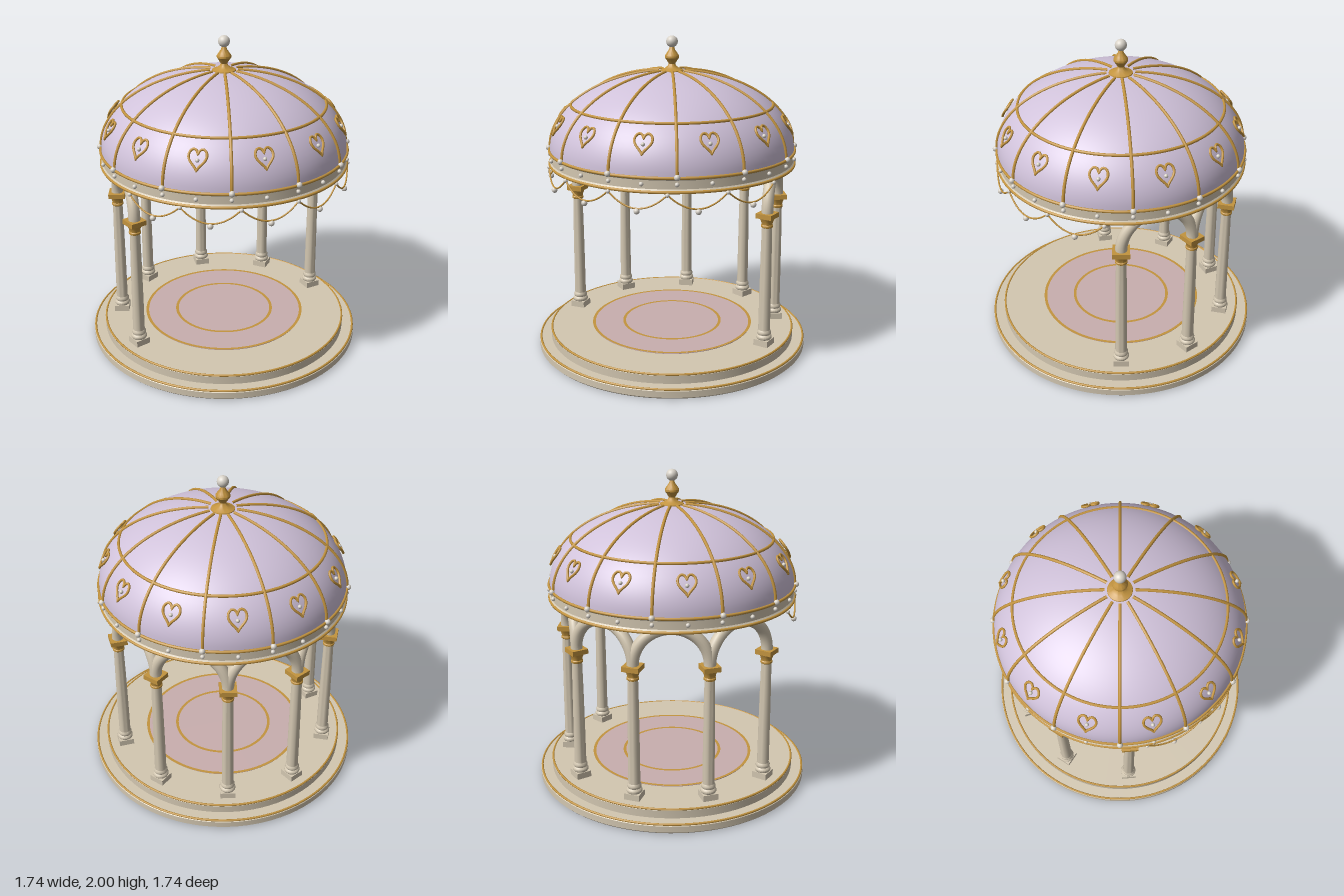
import * as THREE from 'three';
import { toCreasedNormals } from 'three/addons/utils/BufferGeometryUtils.js';

const mat = (name, color, extra = {}) => {
  const m = new THREE.MeshStandardMaterial({ color, ...extra });
  m.name = name;
  return m;
};
const RAD = Math.PI / 180;
const DOME_Y = 1.3, DOME_R = 0.765, DOME_H = 0.487;

// Point at angle a (from the front, towards +x) on a ring
const polar = (a, r, y) => new THREE.Vector3(Math.sin(a) * r, y, Math.cos(a) * r);
// Point on the dome at angle a and elevation t, lifted by off
const onDome = (a, t, off = 0) =>
  polar(a, (DOME_R + off) * Math.cos(t), DOME_Y + (DOME_H + off) * Math.sin(t));

const lathe = (pts, segs = 64) => toCreasedNormals(
  new THREE.LatheGeometry(pts.map(p => new THREE.Vector2(...p)), segs), 0.6);
const tube = (pts, r, segs, closed = false) =>
  new THREE.TubeGeometry(new THREE.CatmullRomCurve3(pts, closed), segs, r, 8, closed);
const hoop = (r, t) => new THREE.TorusGeometry(r, t, 8, 96).rotateX(Math.PI / 2);

export function createModel() {
  const cream = mat('cream stone', 0xd3c7b1);
  const gold = mat('gold', 0xc3943f);
  const lilac = mat('lilac', 0xd0c2da, { side: THREE.DoubleSide });
  const pearl = mat('pearl', 0xd9d3c9);
  const rose = mat('rose floor', 0xc9aeae);

  const model = new THREE.Group();
  model.name = 'domedPavilion';
  const add = (parent, name, geo, material, pos) => {
    const m = new THREE.Mesh(geo, material);
    m.name = name;
    if (pos) m.position.copy(pos);
    parent.add(m);
    return m;
  };
  const group = (name, parent = model) => {
    const g = new THREE.Group();
    g.name = name;
    parent.add(g);
    return g;
  };
  const bead = r => new THREE.SphereGeometry(r, 14, 10);

  // Stepped round base
  const base = group('base');
  add(base, 'steps', lathe([[0, 0], [0.862, 0], [0.872, 0.01], [0.872, 0.05], [0.86, 0.06],
    [0.795, 0.06], [0.795, 0.11], [0.785, 0.12], [0, 0.12]], 96), cream);
  add(base, 'lowerTrim', hoop(0.863, 0.007), gold, new THREE.Vector3(0, 0.058, 0));
  add(base, 'upperTrim', hoop(0.79, 0.007), gold, new THREE.Vector3(0, 0.117, 0));
  add(base, 'floorInlay', new THREE.CylinderGeometry(0.52, 0.52, 0.004, 64), rose,
    new THREE.Vector3(0, 0.122, 0));
  for (const r of [0.315, 0.515])
    add(base, 'floorRing', new THREE.RingGeometry(r - 0.009, r + 0.009, 96).rotateX(-Math.PI / 2),
      gold, new THREE.Vector3(0, 0.127, 0));

  // Six columns around the back, open at the front
  const COL_R = 0.685, STEP = 38 * RAD;
  const plinth = new THREE.BoxGeometry(0.096, 0.04, 0.096);
  const foot = lathe([[0.044, 0.16], [0.049, 0.168], [0.049, 0.178], [0.044, 0.186], [0.04, 0.19],
    [0.044, 0.198], [0.044, 0.208], [0.037, 0.22]], 24);
  const shaft = lathe([[0.037, 0.2], [0.036, 0.45], [0.034, 0.7], [0.031, 0.9]], 24);
  const capital = lathe([[0.031, 0.888], [0.037, 0.893], [0.037, 0.903], [0.033, 0.908],
    [0.036, 0.925], [0.049, 0.952]], 24);
  const abacus = new THREE.BoxGeometry(0.104, 0.03, 0.104);
  for (let i = 0; i < 6; i++) {
    const a = Math.PI + (i - 2.5) * STEP;
    const col = group('column');
    col.position.copy(polar(a, COL_R, 0));
    col.rotation.y = a;
    add(col, 'plinth', plinth, cream, new THREE.Vector3(0, 0.14, 0));
    add(col, 'columnFoot', foot, cream);
    add(col, 'shaft', shaft, cream);
    add(col, 'capital', capital, gold);
    add(col, 'abacus', abacus, gold, new THREE.Vector3(0, 0.965, 0));
  }

  // Round arches between neighbouring columns
  const half = COL_R * Math.sin(STEP / 2), mid = COL_R * Math.cos(STEP / 2);
  const archGeo = new THREE.TorusGeometry(half, 0.036, 14, 40, Math.PI);
  for (let i = 0; i < 5; i++) {
    const a = Math.PI + (i - 2) * STEP;
    add(model, 'arch', archGeo, cream, polar(a, mid, 0.98)).rotation.y = a;
    add(model, 'keystonePearl', bead(0.014), pearl, polar(a, mid + 0.038, 1.198));
  }

  // Ring beam under the dome
  const cornice = group('cornice');
  add(cornice, 'ringBeam', lathe([[0.62, 1.21], [0.77, 1.21], [0.77, 1.225], [0.762, 1.235],
    [0.762, 1.285], [0.77, 1.295], [0.77, 1.305], [0.62, 1.305], [0.62, 1.21]], 96), cream);
  add(cornice, 'lowerBand', hoop(0.769, 0.009), gold, new THREE.Vector3(0, 1.218, 0));
  add(cornice, 'upperBand', hoop(0.769, 0.009), gold, new THREE.Vector3(0, 1.3, 0));
  for (let i = 0; i < 24; i++)
    add(cornice, 'smallPearl', bead(0.013), pearl, polar(i * 15 * RAD, 0.77, 1.263));
  for (let i = 0; i < 12; i++)
    add(cornice, 'ribPearl', bead(0.018), pearl, polar(i * 30 * RAD, 0.776, 1.305));

  // Dome shell with ribs and a hoop
  const dome = group('dome');
  const profile = [];
  for (let i = 0; i <= 24; i++) {
    const p = onDome(0, i / 24 * Math.PI / 2);
    profile.push(new THREE.Vector2(Math.max(p.z, 0), p.y));
  }
  add(dome, 'domeShell', new THREE.LatheGeometry(profile, 96), lilac);
  const hoopT = Math.asin(0.28 / DOME_H);
  add(dome, 'domeHoop', hoop(DOME_R * Math.cos(hoopT) + 0.002, 0.009), gold,
    new THREE.Vector3(0, 1.58, 0));
  const ribEnd = Math.acos(0.085 / DOME_R);
  for (let i = 0; i < 12; i++) {
    const pts = [];
    for (let k = 0; k <= 16; k++) pts.push(onDome(i * 30 * RAD, k / 16 * ribEnd, 0.003));
    add(dome, 'rib', tube(pts, 0.0095, 32), gold);
  }

  // Heart ornaments between the ribs
  for (let i = 0; i < 12; i++) {
    const a = (i * 30 + 15) * RAD, pts = [];
    for (let k = 0; k < 32; k++) {
      const u = k / 32 * Math.PI * 2;
      const x = 0.0033 * 16 * Math.sin(u) ** 3;
      const y = 0.0036 * (13 * Math.cos(u) - 5 * Math.cos(2 * u) - 2 * Math.cos(3 * u) - Math.cos(4 * u));
      pts.push(onDome(a + x / 0.72, Math.asin((y + 0.183) / DOME_H), 0.014));
    }
    add(dome, 'heart', tube(pts, 0.0075, 64, true), gold);
    add(dome, 'heartPearl', bead(0.012), pearl, onDome(a, Math.asin(0.175 / DOME_H), 0.012));
  }

  // Finial
  const finial = group('finial');
  add(finial, 'finialStem', lathe([[0, 1.77], [0.075, 1.775], [0.072, 1.79], [0.045, 1.8], [0.026, 1.815],
    [0.02, 1.828], [0.03, 1.845], [0.044, 1.865], [0.044, 1.877], [0.032, 1.895], [0.018, 1.915],
    [0.011, 1.94], [0, 1.945]], 32), gold);
  add(finial, 'finialPearl', new THREE.SphereGeometry(0.036, 24, 16), pearl, new THREE.Vector3(0, 1.964, 0));

  // Swags with hanging pearls across the open front
  const swags = group('swags'), SWAG = 26 * RAD;
  for (let i = 0; i <= 6; i++) {
    const a0 = (i - 3) * SWAG;
    add(swags, 'jointPearl', bead(0.013), pearl, polar(a0, 0.774, 1.203));
    if (i === 6) break;
    const pts = [];
    for (let k = 0; k <= 12; k++) {
      const u = k / 12;
      pts.push(polar(a0 + u * SWAG, 0.774, 1.205 - 0.085 * 4 * u * (1 - u)));
    }
    add(swags, 'swag', tube(pts, 0.005, 32), gold);
    add(swags, 'dropPearl', bead(0.018), pearl, polar(a0 + SWAG / 2, 0.774, 1.104));
  }
  return model;
}
